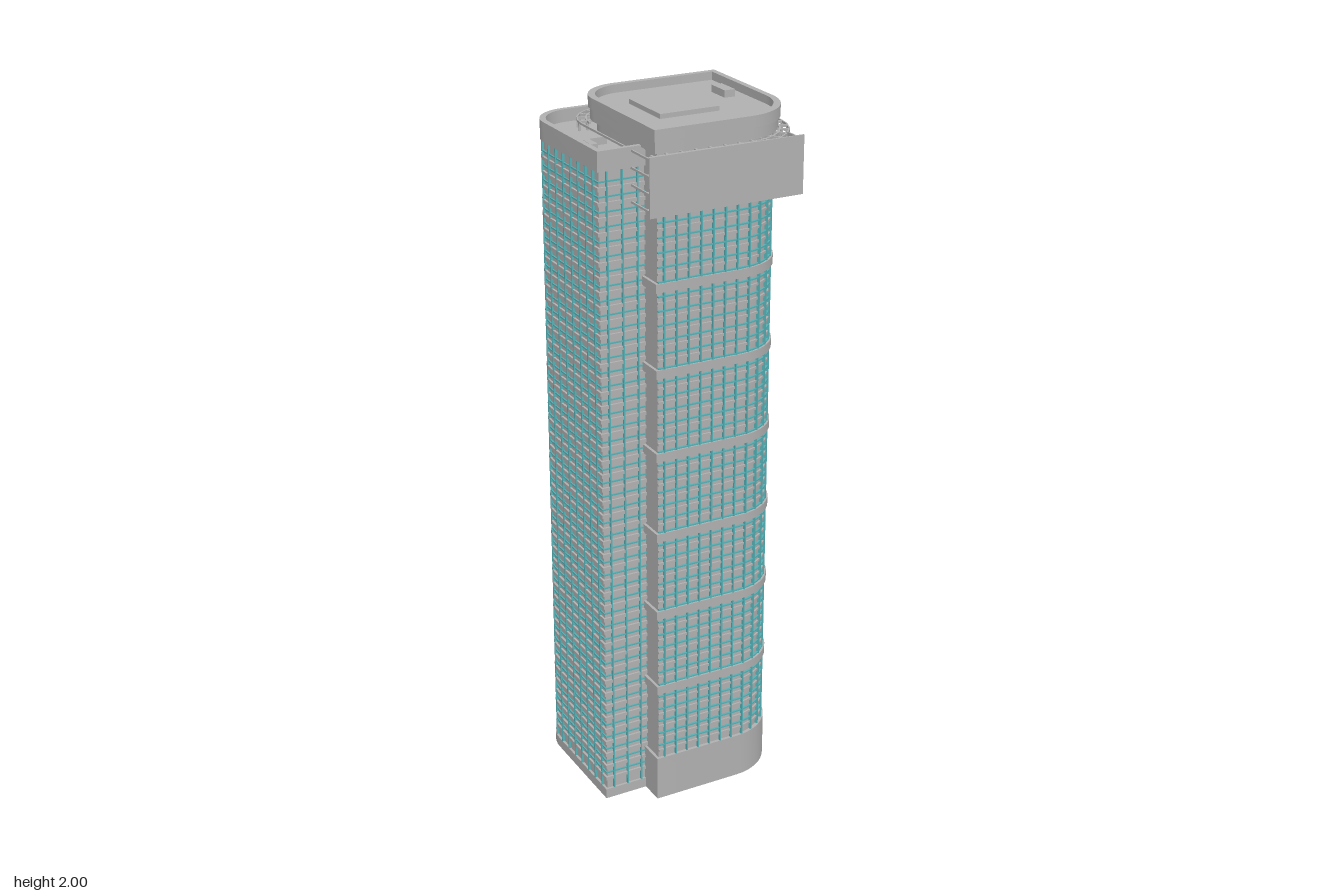
import * as THREE from 'three';
import { mergeGeometries, toCreasedNormals } from 'three/addons/utils/BufferGeometryUtils.js';

const mat = (name, color) => Object.assign(new THREE.MeshStandardMaterial({ color }), { name });

// Rectangle in plan as [x, z] points, running front, +x side, back, -x side,
// with optional rounding at the front/+x and back/-x corners.
function footprint(x0, x1, z0, z1, rFront, rBack, seg = 12) {
  const pts = [[x0, z1]];
  const corner = (cx, cz, r, start) => {
    for (let i = 0; i <= seg; i++) {
      const a = start - (i / seg) * Math.PI / 2;
      pts.push([cx + r * Math.cos(a), cz + r * Math.sin(a)]);
    }
  };
  if (rFront) corner(x1 - rFront, z1 - rFront, rFront, Math.PI / 2); else pts.push([x1, z1]);
  pts.push([x1, z0]);
  if (rBack) corner(x0 + rBack, z0 + rBack, rBack, -Math.PI / 2); else pts.push([x0, z0]);
  return pts;
}

const toVec = pts => pts.map(([x, z]) => new THREE.Vector2(x, -z));

// Upright prism on a plan outline, with an optional hole
function prism(pts, y0, y1, hole) {
  const shape = new THREE.Shape(toVec(pts));
  if (hole) shape.holes.push(new THREE.Path(toVec(hole)));
  const g = new THREE.ExtrudeGeometry(shape, { depth: y1 - y0, bevelEnabled: false });
  g.rotateX(-Math.PI / 2).translate(0, y0, 0);
  return toCreasedNormals(g, 0.4);
}

// Open path pushed outwards by d, mitred at the corners
function offset(path, d) {
  const normal = (a, b) => {
    const l = Math.hypot(b[0] - a[0], b[1] - a[1]);
    return [-(b[1] - a[1]) / l, (b[0] - a[0]) / l];
  };
  return path.map((p, i) => {
    const n1 = normal(path[Math.max(i - 1, 0)], path[Math.max(i, 1)]);
    const last = path.length - 1;
    const n2 = normal(path[Math.min(i, last - 1)], path[Math.min(i + 1, last)]);
    const k = d / (1 + n1[0] * n2[0] + n1[1] * n2[1]);
    return [p[0] + (n1[0] + n2[0]) * k, p[1] + (n1[1] + n2[1]) * k];
  });
}

// Ledge following an open path
const strip = (path, inner, outer, y, h) =>
  prism([...offset(path, outer), ...offset(path, inner).reverse()], y, y + h);

// Boxes spaced along a path, standing out along its normal from inner to outer
function along(path, spacing, inner, outer, width, y, h) {
  const out = [];
  let total = 0;
  for (let i = 1; i < path.length; i++) total += Math.hypot(path[i][0] - path[i - 1][0], path[i][1] - path[i - 1][1]);
  const count = Math.round(total / spacing);
  const step = total / count;
  let travelled = 0, next = step / 2;
  for (let i = 1; i < path.length; i++) {
    const [ax, az] = path[i - 1], [bx, bz] = path[i];
    const len = Math.hypot(bx - ax, bz - az);
    while (next <= travelled + len && next < total) {
      const t = (next - travelled) / len;
      const g = new THREE.BoxGeometry(width, h, outer - inner);
      g.translate(0, y + h / 2, (inner + outer) / 2);
      g.rotateY(Math.atan2(-(bz - az), bx - ax));
      g.translate(ax + (bx - ax) * t, 0, az + (bz - az) * t);
      out.push(g.toNonIndexed());
      next += step;
    }
    travelled += len;
  }
  return out;
}

export function createModel() {
  const model = new THREE.Group();
  model.name = 'tower';
  const grey = mat('concrete grey', 0xb0b0b0);
  const teal = mat('window teal', 0x55b0b5);
  const add = (name, geos, material = grey) => {
    const mesh = new THREE.Mesh(Array.isArray(geos) ? mergeGeometries(geos) : geos, material);
    mesh.name = name;
    model.add(mesh);
  };
  const box = (x0, x1, y0, y1, z0, z1) =>
    new THREE.BoxGeometry(x1 - x0, y1 - y0, z1 - z0)
      .translate((x0 + x1) / 2, (y0 + y1) / 2, (z0 + z1) / 2).toNonIndexed();

  // Main tower: body, plain base and projecting rings
  const wide = footprint(-0.165, 0.255, -0.222, 0.227, 0.155, 0.12);
  const wall = footprint(-0.157, 0.245, -0.213, 0.218, 0.15, 0.12);
  add('mainBody', prism(wall, 0.01, 1.95));
  add('mainBase', prism(wide, 0, 0.135));
  const rings = [];
  for (let i = 0; i < 6; i++) rings.push(prism(wide, 0.35 + i * 0.242, 0.375 + i * 0.242));
  add('floorRings', rings);

  // Main curtain wall on the front, the rounded corner and the +x side
  const facade = wall.slice(0, 15);
  const slabs = [], rails = [], louvres = [];
  const back = [[0.245, -0.213], [0.1, -0.213]];
  for (let y = 0.155; y < 1.78; y += 0.0403) {
    slabs.push(strip(facade, -0.004, 0.005, y, 0.007));
    rails.push(strip(facade, -0.004, 0.006, y + 0.02, 0.004));
    louvres.push(strip(back, -0.004, 0.008, y, 0.016));
  }
  add('mainFloorSlabs', slabs);
  add('mainWindowRails', rails, teal);
  add('mainWindowFins', along(facade, 0.036, -0.003, 0.008, 0.004, 0.135, 1.645), teal);
  add('backLouvres', louvres);

  // Rear tower with parapet and sunken roof
  const rearOuter = footprint(-0.295, 0.1, -0.27, 0.155, 0, 0.108);
  const rearWall = footprint(-0.288, 0.093, -0.263, 0.148, 0, 0.103);
  const rearInner = footprint(-0.279, 0.085, -0.255, 0.142, 0, 0.095);
  add('rearBody', prism(rearWall, 0, 1.905));
  add('rearBase', prism(rearOuter, 0, 0.03));
  add('rearParapet', prism(rearOuter, 1.885, 1.94, rearInner));
  add('rearRoofUnits', [
    box(-0.265, -0.185, 1.9, 1.925, -0.035, -0.008),
    box(-0.255, -0.236, 1.9, 1.925, -0.008, 0.042),
  ]);

  // Rear curtain wall on the +x return, back, rounded corner, -x side and front
  const rearPath = [[0.093, -0.215], ...rearWall.slice(2), [-0.288, 0.148], [-0.157, 0.148]];
  const rearSlabs = [], rearRails = [];
  for (let y = 0.06; y < 1.87; y += 0.0403) {
    rearSlabs.push(strip(rearPath, -0.004, 0.006, y, 0.01));
    rearRails.push(strip(rearPath, -0.004, 0.004, y + 0.022, 0.004));
  }
  add('rearFloorSlabs', rearSlabs);
  add('rearWindowRails', rearRails, teal);
  add('rearWindowFins', along(rearPath, 0.045, -0.003, 0.007, 0.004, 0.03, 1.855), teal);

  // Crown with parapet, recessed roof and roof units
  const crown = footprint(-0.174, 0.265, -0.236, 0.238, 0.16, 0.125, 16);
  const crownInner = footprint(-0.155, 0.248, -0.218, 0.218, 0.145, 0.11, 16);
  add('crownNeck', prism(footprint(-0.169, 0.26, -0.231, 0.23, 0.155, 0.12, 16), 1.935, 1.97));
  add('crownParapet', prism(crown, 1.968, 2, crownInner));
  add('crownRoof', prism(crownInner, 1.965, 1.977));
  add('crownRoofUnits', [
    box(-0.072, 0.105, 1.975, 1.99, -0.1, 0.077),
    box(0.182, 0.214, 1.975, 1.997, -0.103, -0.031),
  ]);

  // Open lattice ring hung around the top
  const ring = footprint(-0.198, 0.291, -0.264, 0.263, 0.185, 0.13, 6);
  const ringIn = footprint(-0.194, 0.287, -0.26, 0.259, 0.181, 0.126, 6);
  const runs = [ring.slice(0, 9), ring.slice(9)];
  const bars = [];
  for (let i = 0; i < 4; i++) {
    const y = 1.79 + i * 0.0455;
    bars.push(prism(ring, y, y + 0.006, ringIn));
    for (const run of runs) {
      bars.push(strip(run, -0.028, -0.023, y, 0.006));
      bars.push(...along(run, 0.043, -0.04, -0.001, 0.006, y, 0.006));
    }
  }
  for (const run of runs) {
    bars.push(...along(run, 0.043, -0.005, 0, 0.006, 1.79, 0.142));
    bars.push(...along(run, 0.043, -0.028, -0.023, 0.006, 1.79, 0.142));
  }
  add('latticeRing', bars);

  // Flat panel across the front, with its end bracket
  add('frontPanel', box(-0.204, 0.25, 1.78, 1.94, 0.263, 0.268));
  add('panelBracket', box(0.234, 0.238, 1.79, 1.935, 0.2, 0.264));

  return model;
}
